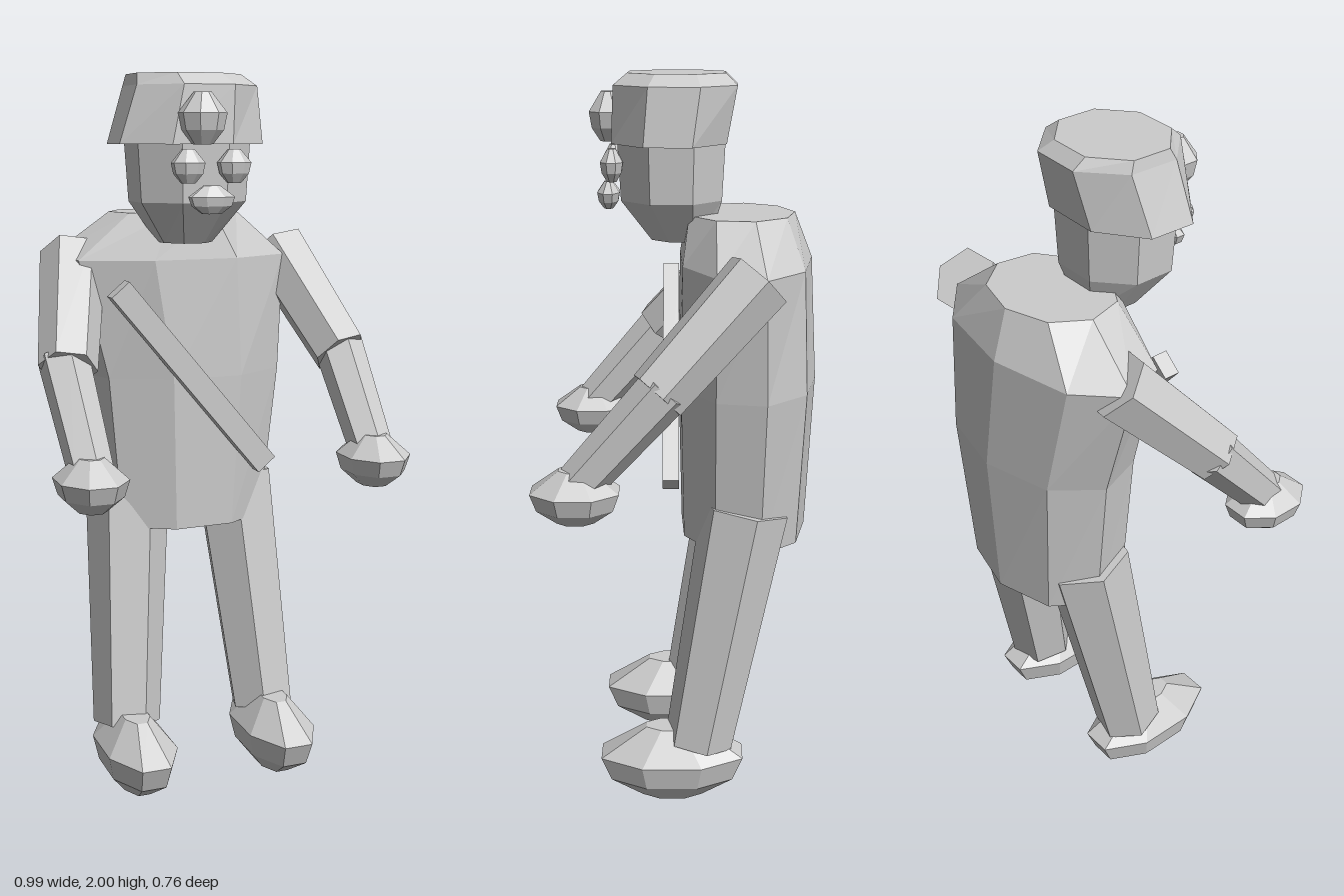
import * as THREE from 'three';

const grey = new THREE.MeshStandardMaterial({ color: 0xcccccc, flatShading: true });
grey.name = 'plain grey';

// Closed solid through horizontal rings [y, centreX, centreZ, radiusX, radiusZ], bottom to top
function loft(name, rings, sides, turn) {
  const pos = [], index = [];
  for (const [y, cx, cz, rx, rz] of rings) {
    for (let i = 0; i < sides; i++) {
      const a = THREE.MathUtils.degToRad(turn + (360 * i) / sides);
      pos.push(cx + rx * Math.cos(a), y, cz + rz * Math.sin(a));
    }
  }
  const last = (rings.length - 1) * sides;
  for (let r = 0; r < last; r += sides) {
    for (let i = 0; i < sides; i++) {
      const a = r + i, b = r + ((i + 1) % sides);
      index.push(a, a + sides, b, b, a + sides, b + sides);
    }
  }
  for (let i = 1; i < sides - 1; i++) {
    index.push(0, i, i + 1, last, last + i + 1, last + i);
  }
  const geo = new THREE.BufferGeometry();
  geo.setAttribute('position', new THREE.Float32BufferAttribute(pos, 3));
  geo.setIndex(index);
  const flat = geo.toNonIndexed();
  flat.computeVertexNormals();
  const mesh = new THREE.Mesh(flat, grey);
  mesh.name = name;
  return mesh;
}

// Faceted pebble: hands, feet, eyes and so on
function pebble(name, x, y, z, rx, ry, rz) {
  const profile = [[-1, 0.42], [-0.45, 0.86], [0.2, 1], [1, 0.36]];
  const k = 1 / Math.cos(Math.PI / 8);
  return loft(name, profile.map(([h, s]) => [y + h * ry, x, z, rx * s * k, rz * s * k]), 8, 22.5);
}

// Tapered six-sided limb between two points
function limb(name, from, to, r0, r1) {
  const a = new THREE.Vector3(...from), b = new THREE.Vector3(...to);
  const dir = b.clone().sub(a);
  const mesh = new THREE.Mesh(new THREE.CylinderGeometry(r1, r0, dir.length(), 6), grey);
  mesh.position.copy(a).add(b).multiplyScalar(0.5);
  mesh.quaternion.setFromUnitVectors(new THREE.Vector3(0, 1, 0), dir.normalize());
  mesh.name = name;
  return mesh;
}

export function createModel() {
  const model = new THREE.Group();
  model.name = 'figure';

  // Torso, leaning behind the head
  model.add(loft('torso', [
    [0.745, 0.0, -0.18, 0.25, 0.18],
    [1.18, 0.005, -0.185, 0.3, 0.195],
    [1.51, -0.03, -0.18, 0.355, 0.185],
    [1.635, -0.025, -0.165, 0.185, 0.15],
  ], 9, -93));

  // Diagonal sash across the chest
  const sash = new THREE.Mesh(new THREE.BoxGeometry(0.065, 0.67, 0.045), grey);
  sash.position.set(-0.033, 1.183, 0.022);
  sash.rotation.z = Math.atan2(81, 97);
  sash.name = 'sash';
  model.add(sash);

  // Head and cap
  model.add(loft('head', [
    [1.56, -0.05, -0.005, 0.075, 0.085],
    [1.67, -0.05, 0.02, 0.16, 0.146],
    [1.85, -0.05, 0.02, 0.172, 0.156],
  ], 8, 22.5));
  model.add(loft('cap', [
    [1.82, -0.058, 0.025, 0.215, 0.165],
    [1.97, -0.038, 0.008, 0.18, 0.176],
    [2.0, -0.055, 0.005, 0.155, 0.14],
  ], 8, 24));

  // Cap badge and face
  model.add(pebble('capBadge', -0.07, 1.885, 0.19, 0.06, 0.065, 0.05));
  model.add(pebble('rightEye', -0.105, 1.765, 0.178, 0.043, 0.043, 0.03));
  model.add(pebble('leftEye', 0.022, 1.765, 0.178, 0.043, 0.043, 0.03));
  model.add(pebble('mouth', -0.045, 1.68, 0.19, 0.06, 0.036, 0.03));

  // Mirrored arms and legs
  for (const s of [1, -1]) {
    const side = s > 0 ? 'left' : 'right';
    model.add(limb(side + 'UpperArm', [0.31 * s, 1.515, -0.2, ], [0.4 * s, 1.24, 0.055], 0.092, 0.08));
    model.add(limb(side + 'Forearm', [0.405 * s, 1.26, 0.03], [0.4 * s, 1.0, 0.26], 0.07, 0.06));
    model.add(pebble(side + 'Hand', 0.403 * s, 0.975, 0.265, 0.09, 0.07, 0.113));
    model.add(limb(side + 'Leg', [0.165 * s, 0.855, -0.18], [0.215 * s, 0.165, -0.055], 0.122, 0.097));
    model.add(pebble(side + 'Foot', 0.215 * s, 0.1075, 0.02, 0.102, 0.1075, 0.2));
  }
  return model;
}
